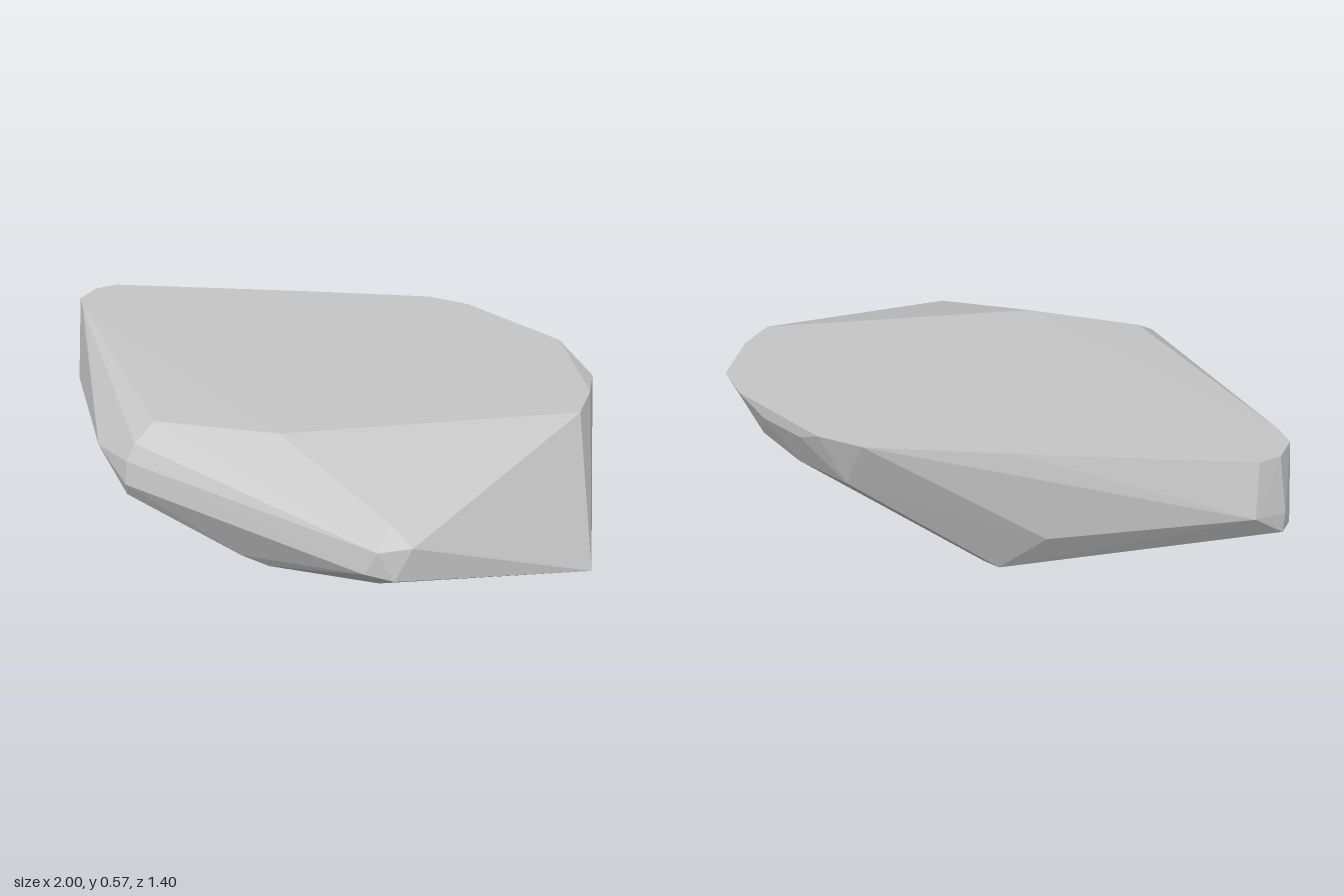
import * as THREE from 'three';
import { ConvexGeometry } from 'three/addons/geometries/ConvexGeometry.js';

const TOP = 0.575; // height of the flat top

// Flat top outline, as [x, z]
const rim = [
  [-0.94, 0.08], [-0.4, -0.37], [-0.05, -0.65], [0.09, -0.7], [0.48, -0.7],
  [0.75, -0.48], [0.8, -0.35], [0.23, 0.38], [-0.87, 0.28], [-0.94, 0.24], [-0.965, 0.15],
];

// Chipped corners below the top, as [x, y, z]
const frontCorners = [
  [-0.11, 0.56, 0.58], [-0.11, 0.515, 0.66], [-0.12, 0.46, 0.69], [-0.12, 0.38, 0.7],
  [-0.31, 0.42, 0.655], [-0.16, 0.31, 0.67], [-0.15, 0.26, 0.61], [0.2, 0.18, 0.52], [0.28, 0.16, 0.48],
];
const sideCorners = [
  [0.68, 0.47, 0.38], [0.7, 0.425, 0.46], [0.76, 0.43, 0.38], [0.74, 0.33, 0.43], [0.67, 0.345, 0.48],
  [0.65, 0.25, 0.39], [1, 0.155, -0.2], [0.92, 0.11, -0.25], [0.86, 0.092, -0.27],
];
const backCorners = [
  [0.67, 0.545, -0.62], [0.36, 0.53, -0.7], [0.18, 0.535, -0.7], [0.49, 0.39, -0.62],
  [0.31, 0.36, -0.62], [0.06, 0.39, -0.63], [-0.55, 0.48, -0.26], [-0.5, 0.33, -0.27], [-0.47, 0.27, -0.3],
];
const endCorners = [
  [-0.965, 0.4, 0.055], [-1, 0.39, 0.16], [-1, 0.32, 0.16], [-0.985, 0.32, 0.22],
  [-0.95, 0.31, 0.27], [-0.87, 0.31, 0.33], [-0.86, 0.25, 0.24],
];
const baseCorners = [
  [0.35, 0, -0.21], [0.76, 0.07, -0.3], [-0.2, 0.05, -0.3], [-0.28, 0.07, -0.31],
];

export function createModel() {
  const group = new THREE.Group();
  group.name = 'rock';
  const stone = new THREE.MeshStandardMaterial({ color: 0xc6c6c6 });
  stone.name = 'light grey stone';
  stone.flatShading = true;

  // Faceted stone wrapped around its corners
  const corners = [
    ...rim.map(([x, z]) => [x, TOP, z]),
    ...frontCorners, ...sideCorners, ...backCorners, ...endCorners, ...baseCorners,
  ].map((p) => new THREE.Vector3(...p));
  const body = new THREE.Mesh(new ConvexGeometry(corners), stone);
  body.name = 'rockBody';
  group.add(body);
  return group;
}
